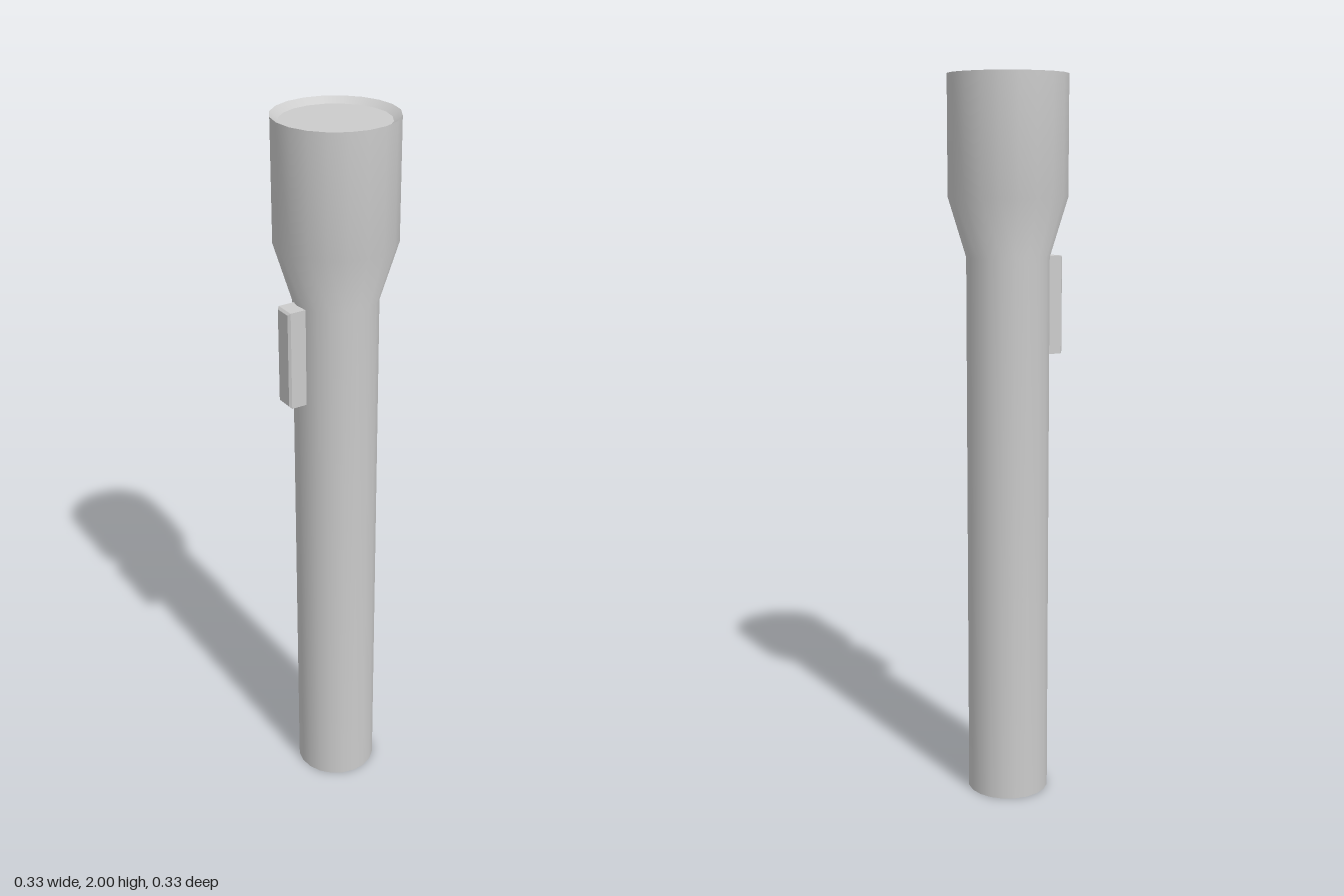
import * as THREE from 'three';

const SIDES = 20;
const HEAD_R = 0.163, BODY_R = 0.114, LENS_R = 0.142, LENS_Y = 1.985;

const v = (x, y) => new THREE.Vector2(x, y);

export function createModel() {
  const group = new THREE.Group();
  const material = new THREE.MeshStandardMaterial({ color: 0xcccccc });

  const add = (name, geometry, y = 0) => {
    const mesh = new THREE.Mesh(geometry, material);
    mesh.name = name;
    mesh.position.y = y;
    group.add(mesh);
    return mesh;
  };

  // Handle tube flaring into the wide lamp head
  add('casing', new THREE.LatheGeometry(
    [v(BODY_R, 0), v(BODY_R, 1.52), v(HEAD_R, 1.68), v(HEAD_R, 2)], SIDES));

  // Flat end of the handle
  add('endCap', new THREE.CircleGeometry(BODY_R, SIDES).rotateX(Math.PI / 2));

  // Rim sloping in to the slightly sunken lens
  add('lensRim', new THREE.LatheGeometry([v(HEAD_R, 2), v(LENS_R, LENS_Y)], SIDES));
  add('lens', new THREE.CircleGeometry(LENS_R, SIDES).rotateX(-Math.PI / 2), LENS_Y);

  // Switch: an upright bar with a bevelled outer face, set on the front right
  const halfWidth = 0.03, halfHeight = 0.135, bevel = 0.006;
  const outline = new THREE.Shape([
    v(-halfWidth + bevel, -halfHeight + bevel), v(halfWidth - bevel, -halfHeight + bevel),
    v(halfWidth - bevel, halfHeight - bevel), v(-halfWidth + bevel, halfHeight - bevel),
  ]);
  const bar = new THREE.ExtrudeGeometry(outline, {
    depth: 0.068, bevelEnabled: true, bevelSize: bevel, bevelThickness: bevel, bevelSegments: 1,
  });
  bar.translate(0, 0, 0.16 - 0.068 - bevel); // outer face at radius 0.16
  const button = add('switch', bar, 1.385);
  button.rotation.y = -THREE.MathUtils.degToRad(51);

  return group;
}
